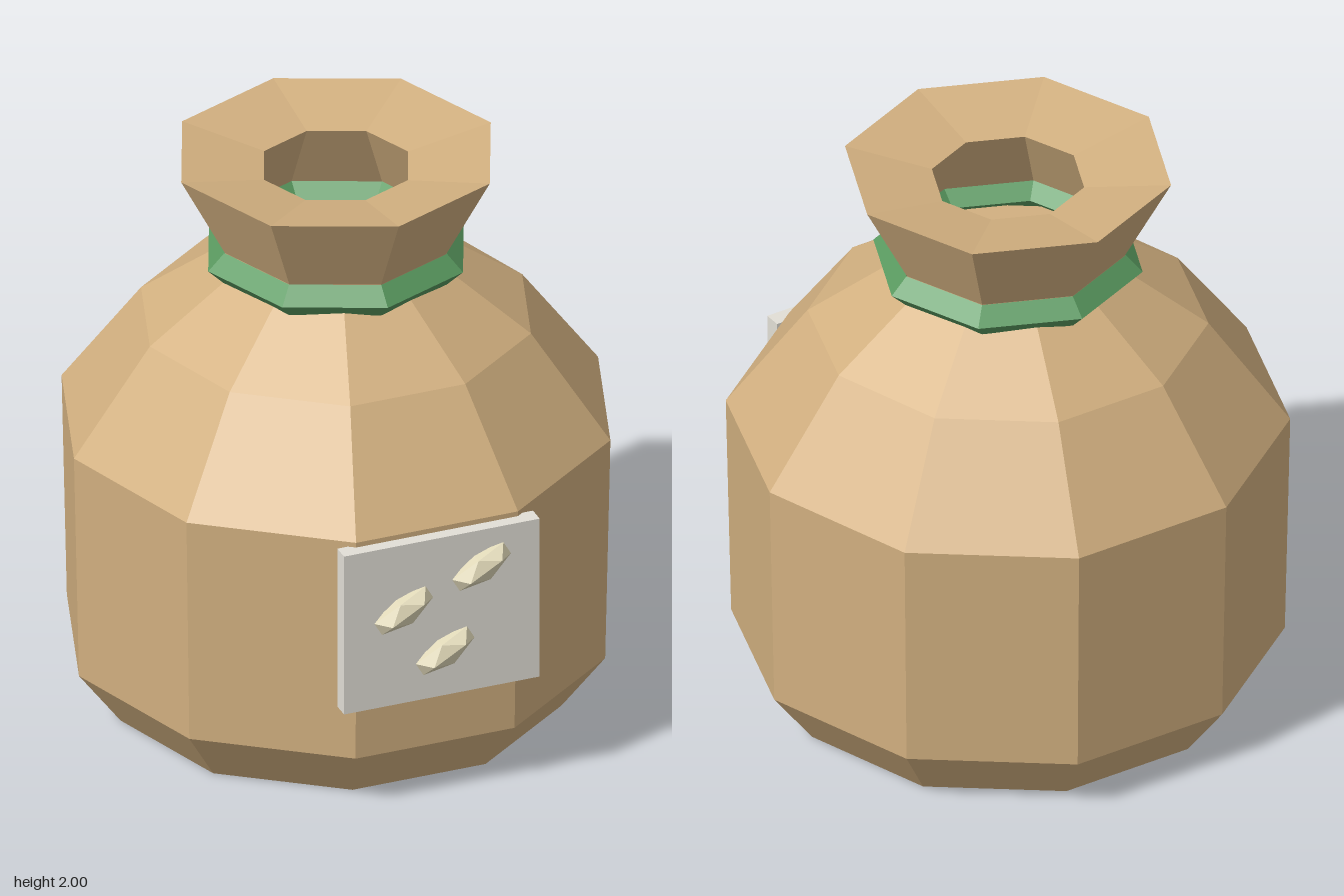
import * as THREE from 'three';

const paint = (color, side = THREE.FrontSide) =>
  new THREE.MeshStandardMaterial({ color, flatShading: true, side });

function add(parent, name, geometry, material) {
  const mesh = new THREE.Mesh(geometry, material);
  mesh.name = name;
  parent.add(mesh);
  return mesh;
}

// Faceted solid of revolution from [radius, height] pairs
const turned = (profile, sides, start = 0) =>
  new THREE.LatheGeometry(profile.map(([r, y]) => new THREE.Vector2(r, y)), sides, start);

export function createModel() {
  const model = new THREE.Group();
  model.name = 'seedSack';

  const cloth = paint(0xd2b080);
  const cord = paint(0x5a9a60);
  const paper = paint(0xe2dfd6);
  const seedSkin = paint(0xe0d8b8);

  const sack = new THREE.Group();
  sack.name = 'sack';
  sack.position.z = -0.05;
  model.add(sack);

  // Ten-sided filled body, closed under the tie
  add(sack, 'sackBody', turned([
    [0, 0], [0.775, 0], [0.925, 0.2], [0.943, 1.03],
    [0.67, 1.4], [0.36, 1.62], [0, 1.62],
  ], 10, Math.PI / 10), cloth);

  // Eight-sided flared neck with a folded-in mouth
  add(sack, 'sackNeck', turned([
    [0.4, 1.68], [0.4, 1.7], [0.557, 2], [0.26, 1.95], [0.4, 1.68],
  ], 8), cloth);

  // Diamond-section cord around the neck
  const tie = add(sack, 'tie', new THREE.TorusGeometry(0.402, 0.058, 4, 8), cord);
  tie.rotation.x = -Math.PI / 2;
  tie.position.y = 1.642;

  // Label plate on the front
  const label = add(model, 'label', new THREE.BoxGeometry(0.704, 0.6, 0.06), paper);
  label.position.set(0, 0.712, 0.86);

  // Three slanted seeds on the label
  const seedShape = new THREE.IcosahedronGeometry(0.052, 0).scale(1, 2.4, 1);
  [[-0.142, 0.77], [0.138, 0.88], [0.007, 0.587]].forEach(([x, y], i) => {
    const seed = add(model, `seed${i + 1}`, seedShape, seedSkin);
    seed.position.set(x, y, 0.902);
    seed.rotation.z = -Math.PI / 3;
  });

  return model;
}
